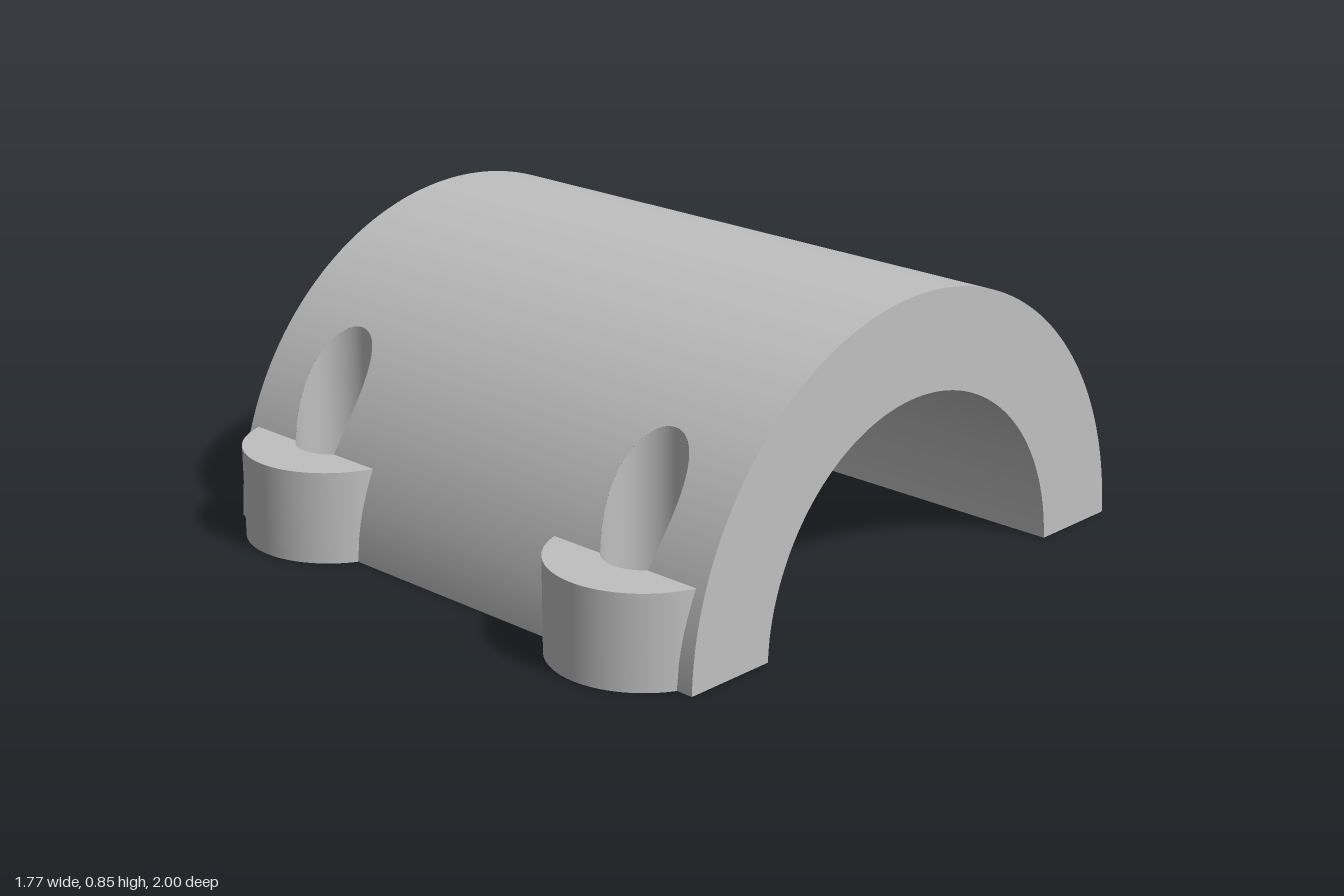
import * as THREE from 'three';

const L = 0.885;                       // half length along x
const CY = -0.018, RO = 0.863, RI = 0.583; // shell axis height and radii
const HX = 0.605, HZ = 0.74, HR = 0.112;   // bolt hole position and radius
const LR = 0.26, LH = 0.265;           // lug radius and height
const outerY = (z) => CY + Math.sqrt(Math.max(0, RO * RO - z * z));
const footZ = (r) => Math.sqrt(r * r - CY * CY);   // half width of a circle at y = 0
const ZL = Math.sqrt(RO * RO - (LH - CY) ** 2);    // where the lug top meets the shell
const steps = (n, a, b, f) => Array.from({ length: n + 1 }, (_, i) => f(a + (b - a) * i / n));

// Smooth ruled strip from rows of [pointA, pointB, normal]; winding follows the normals
function strip(rows) {
  const pos = [], nor = [], idx = [];
  rows.forEach(([a, b, n]) => { pos.push(...a, ...b); nor.push(...n, ...n); });
  const v = (p) => new THREE.Vector3(...p);
  for (let i = 0; i < rows.length - 1; i++) {
    const [a, b, n] = rows[i], [c, d, m] = rows[i + 1], k = i * 2;
    const cross = v(d).sub(v(a)).cross(v(c).sub(v(b)));
    if (cross.dot(v(n).add(v(m))) > 0) idx.push(k, k + 3, k + 2, k, k + 1, k + 3);
    else idx.push(k, k + 2, k + 3, k, k + 3, k + 1);
    // the diagonals a-d and b-c give the facing of the quad
    if (cross.dot(v(n).add(v(m))) > 0) {
      const t = v(b).sub(v(a)).cross(v(d).sub(v(a))).add(v(d).sub(v(a)).cross(v(c).sub(v(a))));
      if (t.dot(v(n)) < 0) idx.splice(-6, 6, k, k + 2, k + 3, k, k + 3, k + 1);
    } else {
      const t = v(c).sub(v(a)).cross(v(d).sub(v(a))).add(v(d).sub(v(a)).cross(v(b).sub(v(a))));
      if (t.dot(v(n)) < 0) idx.splice(-6, 6, k, k + 3, k + 2, k, k + 1, k + 3);
    }
  }
  const g = new THREE.BufferGeometry();
  g.setAttribute('position', new THREE.Float32BufferAttribute(pos, 3));
  g.setAttribute('normal', new THREE.Float32BufferAttribute(nor, 3));
  g.setIndex(idx);
  return g;
}

export function createModel() {
  const model = new THREE.Group();
  model.name = 'halfBearingShell';
  const metal = new THREE.MeshStandardMaterial({ color: 0xc0c0c0 });
  metal.name = 'plainGrey';
  const add = (parent, name, geo) => {
    const mesh = new THREE.Mesh(geo, metal);
    mesh.name = name;
    parent.add(mesh);
    return mesh;
  };

  // Outer skin: rows of [z, half width of the opening], from the foot to the crown
  const half = [
    ...steps(10, footZ(RO), ZL, (z) => [z, Math.sqrt(LR * LR - (z - HZ) ** 2)]),
    ...steps(28, Math.asin((ZL - HZ) / HR), -Math.PI / 2,
      (t) => [HZ + HR * Math.sin(t), HR * Math.cos(t)]),
    ...steps(32, Math.asin((HZ - HR) / RO), 0, (t) => [RO * Math.sin(t), 0]).slice(1),
  ];
  const rows = [...half, ...half.slice(0, -1).reverse().map(([z, w]) => [-z, w])];
  const column = (from, to) => strip(rows.map(([z, w]) => {
    const y = outerY(z);
    return [[from(w), y, z], [to(w), y, z], [0, (y - CY) / RO, z / RO]];
  }));
  add(model, 'outerSkinRight', column(() => -L, (w) => -HX - w));
  add(model, 'outerSkinMiddle', column((w) => -HX + w, (w) => HX - w));
  add(model, 'outerSkinLeft', column((w) => HX + w, () => L));

  // Bore
  const ai = Math.asin(-CY / RI), ao = Math.asin(-CY / RO);
  add(model, 'bore', strip(steps(96, ai, Math.PI - ai, (t) => {
    const c = Math.cos(t), s = Math.sin(t);
    return [[-L, CY + RI * s, RI * c], [L, CY + RI * s, RI * c], [0, -s, -c]];
  })));

  // Flat half-ring ends
  const ring = new THREE.Shape();
  ring.absarc(0, CY, RO, ao, Math.PI - ao, false);
  ring.absarc(0, CY, RI, Math.PI - ai, ai, true);
  for (const s of [1, -1]) {
    const end = add(model, s > 0 ? 'endFaceLeft' : 'endFaceRight', new THREE.ShapeGeometry(ring, 96));
    end.rotation.y = s * Math.PI / 2;
    end.position.x = s * L;
  }

  // Foot face with two lug outlines and two bolt holes
  const zo = footZ(RO), zi = footZ(RI), c = Math.asin((zo - HZ) / LR);
  const foot = new THREE.Shape();
  foot.moveTo(-L, zi);
  foot.lineTo(L, zi);
  foot.lineTo(L, zo);
  for (const x of [HX, -HX]) {
    foot.absarc(x, HZ, LR, c, Math.PI - c, false);
    foot.holes.push(new THREE.Path().absarc(x, HZ, HR, 0, Math.PI * 2, true));
  }
  foot.lineTo(-L, zo);
  const footGeo = new THREE.ShapeGeometry(foot, 48).rotateX(Math.PI / 2);

  // Lug top, notched by the hole
  const a = Math.asin((ZL - HZ) / LR), b = Math.asin((ZL - HZ) / HR);
  const cap = new THREE.Shape();
  cap.absarc(0, 0, LR, a, Math.PI - a, false);
  cap.absarc(0, 0, HR, Math.PI - b, b, true);
  const capGeo = new THREE.ShapeGeometry(cap, 48)
    .rotateX(-Math.PI / 2).rotateY(Math.PI).translate(0, LH, HZ);

  // Lug wall, clipped by the curved shell
  const wallGeo = strip(steps(64, a, Math.PI - a, (t) => {
    const x = LR * Math.cos(t), z = HZ + LR * Math.sin(t);
    const low = z < zo ? outerY(z) : 0;
    return [[x, low, z], [x, LH, z], [Math.cos(t), 0, Math.sin(t)]];
  }));

  // Hole wall, reaching the lug top or the shell surface
  const holeGeo = strip(steps(64, 0, Math.PI * 2, (t) => {
    const x = HR * Math.cos(t), z = HZ + HR * Math.sin(t);
    return [[x, 0, z], [x, Math.max(LH, outerY(z)), z], [-Math.cos(t), 0, -Math.sin(t)]];
  }));

  for (const side of ['front', 'back']) {
    const flange = new THREE.Group();
    flange.name = side + 'Flange';
    add(flange, side + 'FootFace', footGeo);
    for (const x of [-HX, HX]) {
      add(flange, side + 'LugTop', capGeo).position.x = x;
      add(flange, side + 'LugWall', wallGeo).position.x = x;
      add(flange, side + 'BoltHole', holeGeo).position.x = x;
    }
    if (side === 'back') flange.rotation.y = Math.PI;
    model.add(flange);
  }
  return model;
}
